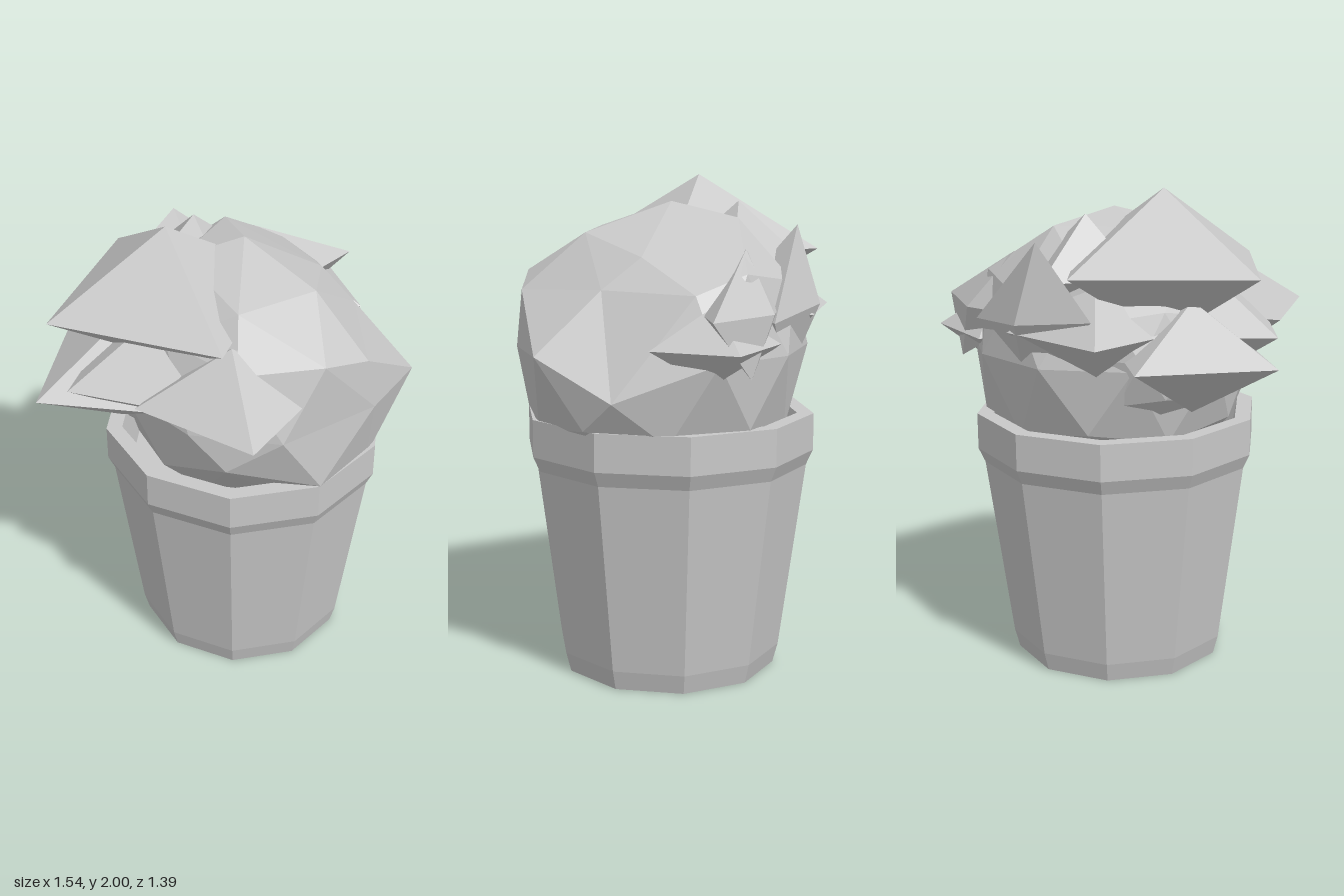
import * as THREE from 'three';

const BACK = -0.7; // everything in the crown is flattened against this plane

export function createModel() {
  const grey = new THREE.MeshStandardMaterial({ color: 0xc8c8c8, flatShading: true });
  grey.name = 'grey';
  const model = new THREE.Group();
  model.name = 'pottedPlant';

  const add = (geometry, name, parent) => {
    const mesh = new THREE.Mesh(geometry, grey);
    mesh.name = name;
    parent.add(mesh);
    return mesh;
  };

  // ten-sided pot: floor, tapered wall, rim, hollow inside
  const profile = [
    [0, 0], [0.442, 0], [0.463, 0.08], [0.565, 0.85], [0.592, 0.91],
    [0.592, 1.06], [0.525, 1.06], [0.49, 0.88], [0, 0.88],
  ].map(([r, y]) => new THREE.Vector2(r, y));
  const pot = add(new THREE.LatheGeometry(profile, 10, Math.PI / 2).toNonIndexed(), 'pot', model);
  pot.geometry.computeVertexNormals();
  pot.position.set(0.113, 0, -0.131);

  const crown = new THREE.Group();
  crown.name = 'crown';
  model.add(crown);

  // keeps vertices in front of the back plane and refreshes flat normals
  const flatten = (geometry) => {
    const p = geometry.attributes.position;
    for (let i = 0; i < p.count; i++) p.setZ(i, Math.max(BACK, p.getZ(i)));
    geometry.computeVertexNormals();
    return geometry;
  };

  // faceted ball with one corner at the top;
  // each listed point pulls the nearest ball corner onto itself
  const ball = (name, center, r, turn, pulls = []) => {
    const g = new THREE.IcosahedronGeometry(r, 1);
    g.rotateZ(Math.atan2(1, (1 + Math.sqrt(5)) / 2)).rotateY(turn).translate(...center);
    const p = g.attributes.position;
    const rest = p.clone();
    const v = new THREE.Vector3();
    for (const pull of pulls) {
      const target = new THREE.Vector3(...pull);
      const near = new THREE.Vector3(0, 100, 0);
      for (let i = 0; i < p.count; i++) {
        v.fromBufferAttribute(rest, i);
        if (v.distanceTo(target) < near.distanceTo(target)) near.copy(v);
      }
      for (let i = 0; i < p.count; i++) {
        if (v.fromBufferAttribute(rest, i).distanceTo(near) < 1e-4) p.setXYZ(i, ...pull);
      }
    }
    add(flatten(g), name, crown);
  };

  ball('foliageBall', [0.17, 1.33, -0.12], 0.6, THREE.MathUtils.degToRad(-76), [
    [0.11, 1.9, -0.14],                                             // top
    [0.335, 1.78, 0.125], [0.445, 1.7, -0.19], [0, 1.79, 0.25],     // upper slopes
    [0.3, 1.62, 0.42], [0.5, 1.56, 0.32], [0.56, 1.58, -0.08], [0.5, 1.57, -0.45],
    [0.77, 1.34, 0.09], [0.54, 1.34, 0.32], [0.73, 1.18, -0.22],    // middle
    [0.3, 1.06, 0.43], [-0.08, 1.17, 0.4],                          // lower front
  ]);
  ball('innerFoliage', [-0.12, 1.37, -0.15], 0.35, 0.4);

  // pointed leaf clumps: squashed octahedra
  // [name, centre, vector to one side corner, vector to the top, half width across]
  const leaves = [
    ['topLeaf', [-0.21, 1.7, -0.1], [-0.49, 0, 0.12], [0, 0.3, 0], 0.505],
    ['frontLeaf', [-0.04, 1.47, 0.32], [0, 0, 0.375], [0, 0.22, 0], 0.375],
    ['lowerSideLeaf', [-0.42, 1.37, -0.1], [-0.35, 0, 0.16], [0, 0.22, 0], 0.385],
    ['middleSideLeaf', [-0.3, 1.46, 0.04], [-0.35, 0, 0.1], [0, 0.22, 0], 0.37],
    ['backCornerLeaf', [-0.2, 1.46, -0.4], [-0.3, 0, -0.17], [0, 0.22, 0], 0.35],
    ['backLeaf', [-0.04, 1.5, -0.6], [0.34, -0.04, -0.08], [-0.05, 0.31, 0], 0.25],
    ['backUpperLeaf', [-0.05, 1.66, -0.36], [0.1, 0, 0.25], [0, 0.24, 0], 0.28],
    ['backLeftLeaf', [0.36, 1.5, -0.6], [0.34, 0, -0.02], [-0.12, 0.23, 0.07], 0.21],
    ['backLeftLowLeaf', [0.47, 1.38, -0.52], [0.21, 0, 0.17], [0, 0.16, 0], 0.27],
  ];
  for (const [name, center, corner, top, width] of leaves) {
    const a = new THREE.Vector3(...corner);
    const across = new THREE.Vector3(-a.z, 0, a.x).setLength(width);
    const basis = new THREE.Matrix4().makeBasis(a, new THREE.Vector3(...top), across);
    const g = new THREE.OctahedronGeometry(1, 0).applyMatrix4(basis).translate(...center);
    add(flatten(g), name, crown);
  }
  return model;
}
